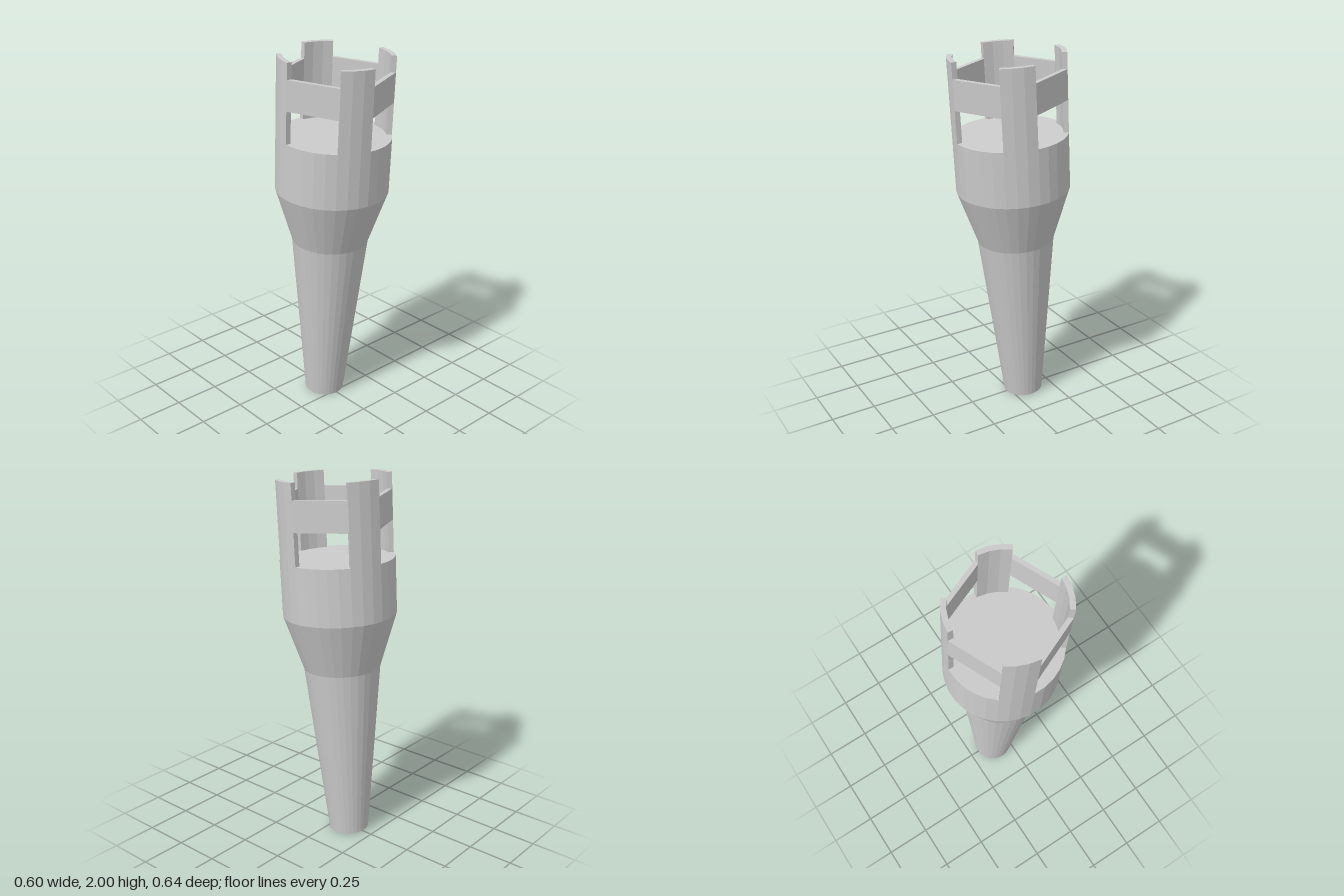
import * as THREE from 'three';

const SIDES = 32;
const STEP = (Math.PI * 2) / SIDES;
const START = THREE.MathUtils.degToRad(4); // angle where the first post begins
const R_OUT = 0.303, R_IN = 0.275;
const FLOOR = 1.562, TOP = 1.98;
const BAND_LOW = 1.735, BAND_HIGH = 1.895;

// Upright prism over a faceted ring sector; `stops` are facet indices round the rim
function ringSector(stops, low, high) {
  const at = (r, i) => new THREE.Vector2(
    r * Math.cos(START + i * STEP), r * Math.sin(START + i * STEP));
  const outline = [
    ...stops.map((i) => at(R_OUT, i)),
    ...[...stops].reverse().map((i) => at(R_IN, i)),
  ];
  const geo = new THREE.ExtrudeGeometry(new THREE.Shape(outline), {
    depth: high - low, bevelEnabled: false,
  });
  return geo.rotateX(Math.PI / 2).translate(0, high, 0);
}

export function createModel() {
  const model = new THREE.Group();
  model.name = 'torch';
  const material = new THREE.MeshStandardMaterial({ color: 0xcccccc, flatShading: true });
  const torch = new THREE.Group();
  torch.name = 'tiltedTorch';
  model.add(torch);

  const add = (name, geometry) => {
    const mesh = new THREE.Mesh(geometry, material);
    mesh.name = name;
    torch.add(mesh);
  };

  // Tapered handle, flared neck and solid cup, closed at both ends
  const profile = [
    [0, 0], [0.11, 0], [0.207, 0.965], [R_OUT, 1.262], [R_OUT, FLOOR], [0, FLOOR],
  ].map(([r, y]) => new THREE.Vector2(r, y));
  add('handleAndCup', new THREE.LatheGeometry(profile, SIDES, Math.PI / 2 - START));

  // Four curved posts joined by four flat bands
  for (let k = 0; k < 4; k++) {
    const i = k * 8;
    add('post' + (k + 1), ringSector([i, i + 1, i + 2, i + 3], FLOOR, TOP));
    add('band' + (k + 1), ringSector([i + 3, i + 8], BAND_LOW, BAND_HIGH));
  }

  // Whole torch leans towards the front
  torch.rotation.x = 0.055;
  torch.position.set(0, 0.006, -0.09);
  return model;
}
